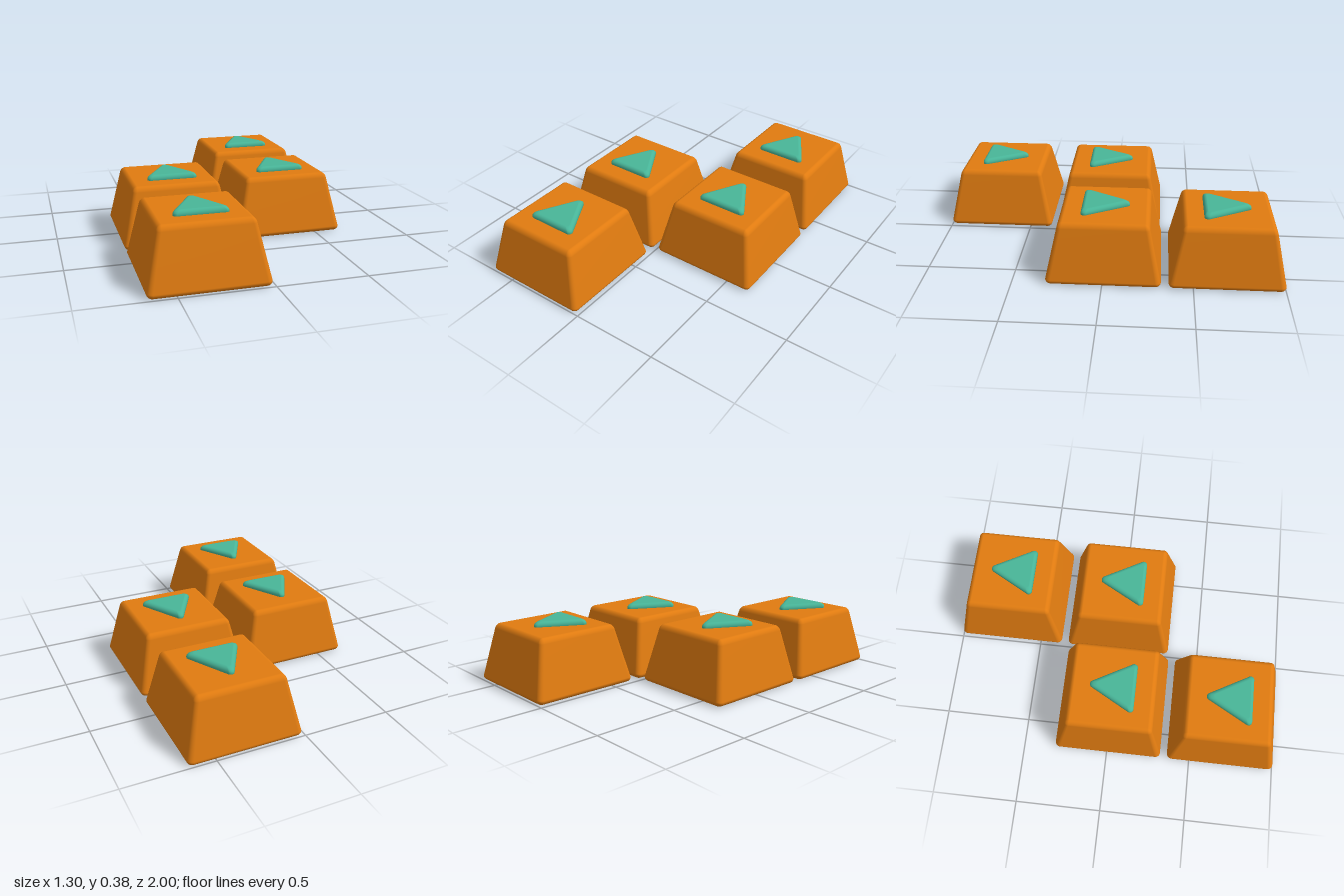
import * as THREE from 'three';
import { RoundedBoxGeometry } from 'three/addons/geometries/RoundedBoxGeometry.js';
import { mergeVertices } from 'three/addons/utils/BufferGeometryUtils.js';

const HALF = 0.318, HEIGHT = 0.348;

// Rounded box narrowed towards the top, with smooth normals
function keycapGeometry() {
  let geo = new RoundedBoxGeometry(HALF * 2, HEIGHT, HALF * 2, 5, 0.03);
  geo.translate(0, HEIGHT / 2, 0);
  const p = geo.attributes.position;
  for (let i = 0; i < p.count; i++) {
    const s = 1 - 0.2 * Math.max(0, (p.getY(i) - 0.025) / 0.29);
    p.setXYZ(i, p.getX(i) * s, p.getY(i), p.getZ(i) * s);
  }
  geo.deleteAttribute('normal');
  geo.deleteAttribute('uv');
  geo = mergeVertices(geo, 1e-5);
  geo.computeVertexNormals();
  return geo;
}

// Rounded triangle pointing to -z, lofted through shrinking rings to a soft top
function arrowGeometry() {
  const outline = [];
  const corners = [[0.125, 0.068, -30], [-0.125, 0.068, 90], [0, -0.158, 210]];
  const steps = 6, r = 0.02;
  for (const [x, z, start] of corners) {
    for (let i = 0; i <= steps; i++) {
      const a = THREE.MathUtils.degToRad(start + (120 * i) / steps);
      outline.push([x + r * Math.cos(a), z + r * Math.sin(a)]);
    }
  }
  // [scale, height]
  const rings = [[0, 0.335], [1, 0.335], [1, 0.355], [0.985, 0.363], [0.94, 0.37],
    [0.88, 0.375], [0.8, 0.378], [0.76, 0.378], [0, 0.378]];
  const n = outline.length, pos = [], index = [];
  for (const [s, y] of rings) {
    for (const [x, z] of outline) pos.push(x * s, y, z * s + 0.045);
  }
  for (let k = 0; k < rings.length - 1; k++) {
    for (let i = 0; i < n; i++) {
      const a = k * n + i, b = k * n + ((i + 1) % n);
      index.push(a, a + n, b, b, a + n, b + n);
    }
  }
  let geo = new THREE.BufferGeometry();
  geo.setAttribute('position', new THREE.Float32BufferAttribute(pos, 3));
  geo.setIndex(index);
  geo = mergeVertices(geo, 1e-5);
  geo.computeVertexNormals();
  return geo;
}

export function createModel() {
  const model = new THREE.Group();
  model.name = 'keyBlock';
  const capMaterial = new THREE.MeshStandardMaterial({ color: 0xe07b10 });
  const arrowMaterial = new THREE.MeshStandardMaterial({ color: 0x48b598 });
  const capGeo = keycapGeometry(), arrowGeo = arrowGeometry();

  // Four keys in a stepped S layout
  const layout = [
    ['backRightKey', 0.332, -0.682], ['middleRightKey', 0.332, -0.005],
    ['middleLeftKey', -0.332, 0.005], ['frontLeftKey', -0.332, 0.682],
  ];
  for (const [name, x, z] of layout) {
    const key = new THREE.Group();
    key.name = name;
    key.position.set(x, 0, z);
    const cap = new THREE.Mesh(capGeo, capMaterial);
    cap.name = 'keycap';
    const arrow = new THREE.Mesh(arrowGeo, arrowMaterial);
    arrow.name = 'arrowMark';
    key.add(cap, arrow);
    model.add(key);
  }
  return model;
}
